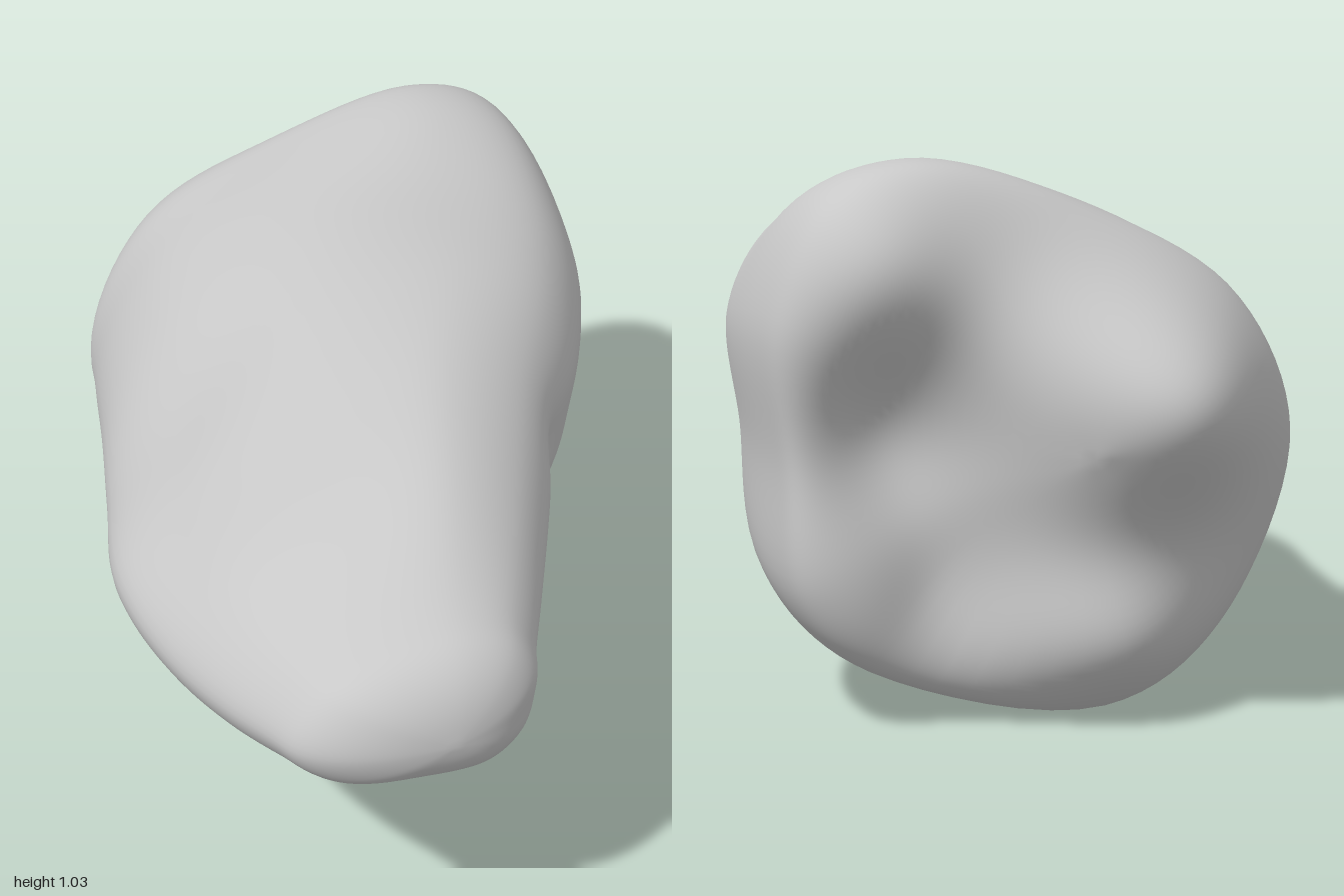
import * as THREE from 'three';
import { mergeVertices } from 'three/addons/utils/BufferGeometryUtils.js';

const SEG = 96;
const TIP = [-.2, .595];
const CROWN = [.1, .52];

// Cross-sections from tip to crown: z, then outline points [x, y] counter-clockwise from the +x side
const SECTIONS = [
  [0.86, [[0, .6], [0, .66], [-.05, .73], [-.15, .765], [-.3, .745], [-.42, .69], [-.485, .58], [-.42, .5], [-.27, .472], [-.09, .475], [-.02, .53]]],
  [0.6, [[.125, .6], [.135, .7], [.075, .81], [-.07, .88], [-.28, .83], [-.49, .715], [-.585, .57], [-.5, .46], [-.25, .43], [0, .435], [.09, .5]]],
  [0.3, [[.26, .6], [.285, .73], [.21, .86], [.03, .935], [-.24, .865], [-.48, .72], [-.62, .575], [-.52, .42], [-.2, .36], [.11, .385], [.215, .47]]],
  [0, [[.44, .56], [.465, .73], [.38, .88], [.18, .955], [-.13, .92], [-.37, .76], [-.555, .55], [-.43, .34], [-.05, .25], [.29, .3], [.4, .42]]],
  [-0.3, [[.565, .52], [.585, .74], [.49, .9], [.27, .97], [-.04, .95], [-.34, .78], [-.485, .52], [-.36, .24], [0, .11], [.41, .17], [.54, .3]]],
  [-0.6, [[.59, .5], [.615, .76], [.52, .97], [.33, 1.035], [0, .945], [-.29, .78], [-.42, .5], [-.29, .16], [-.03, 0], [.44, .11], [.57, .25]]],
];

// Cusps and grooves of the back face: x, y, height, spread in x, spread in y
const CUSPS = [
  [-.05, .61, .25, .17, .16],
  [.48, .85, .08, .12, .12],
  [0, .15, .13, .15, .11],
  [.39, .54, -.13, .12, .13],
  [.3, .25, -.08, .09, .13],
];

// Small swellings and hollows on the +x flank: z, y, height, spread
const FLANK = [[.34, .56, .03, .07], [.3, .67, -.035, .06], [.06, .53, .012, .07]];

const bell = (u, v, su, sv) => Math.exp(-0.5 * ((u / su) ** 2 + (v / sv) ** 2));
const backHeight = (x, y) =>
  CUSPS.reduce((h, [cx, cy, a, sx, sy]) => h + a * bell(x - cx, y - cy, sx, sy), 0.16);

// Copy of an outline scaled about a centre and moved along z
const shrink = (outline, [cx, cy], s, dz) =>
  outline.map((p) => new THREE.Vector3(cx + (p.x - cx) * s, cy + (p.y - cy) * s, p.z + dz));

// Rounded cap: rings shrinking from an outline to a centre while z bulges outward
function capRings(outline, centre, power, count, bulge) {
  const rings = [];
  for (let i = 0; i < count; i++) {
    const s = Math.sin((i / count) * Math.PI / 2);
    const lift = Math.pow(1 - Math.pow(s, power), 1 / power);
    const ring = shrink(outline, centre, s, 0);
    ring.forEach((p) => { p.z += lift * bulge(p.x, p.y); });
    rings.push(ring);
  }
  return rings;
}

// Soften the joins between body and caps by averaging neighbouring rings
function soften(rings, passes) {
  for (let n = 0; n < passes; n++) {
    rings = rings.map((ring, i) => (i === 0 || i === rings.length - 1) ? ring
      : ring.map((p, j) => p.clone().multiplyScalar(2).add(rings[i - 1][j]).add(rings[i + 1][j]).multiplyScalar(0.25)));
  }
  return rings;
}

function toothGeometry() {
  // Smooth closed outline for every section
  const outlines = SECTIONS.map(([z, pts]) => {
    const curve = new THREE.CatmullRomCurve3(pts.map(([x, y]) => new THREE.Vector3(x, y, z)), true);
    return Array.from({ length: SEG }, (_, j) => curve.getPoint(j / SEG));
  });

  // Shrunken guide outlines beyond both ends turn the walls inward there
  const last = outlines.length - 1;
  const guided = [shrink(outlines[0], TIP, 0.55, 0.15), ...outlines, shrink(outlines[last], CROWN, 0.82, -0.3)];

  // Loft lengthwise through the outlines, between the two guides
  const rails = guided[0].map((_, j) => new THREE.CatmullRomCurve3(guided.map((o) => o[j])));
  const steps = 64, body = [];
  for (let i = 0; i <= steps; i++) {
    body.push(rails.map((rail) => {
      const p = rail.getPoint((1 + last * i / steps) / (last + 2));
      if (p.x > -0.2 + (0.8 - p.z) * 0.3) {
        for (const [z, y, a, s] of FLANK) p.x += a * bell(p.z - z, p.y - y, s, s);
      }
      return p;
    }));
  }

  const tip = capRings(body[0], TIP, 2, 18, () => 0.14);
  const crown = capRings(body[steps], CROWN, 3, 36, (x, y) => -backHeight(x, y)).reverse();
  const rings = soften([...tip, ...body, ...crown], 6);

  const positions = rings.flat().flatMap((p) => [p.x, p.y, p.z]);
  const index = [];
  for (let i = 0; i < rings.length - 1; i++) {
    for (let j = 0; j < SEG; j++) {
      const k = (j + 1) % SEG;
      const a = i * SEG + j, b = i * SEG + k, c = a + SEG, d = b + SEG;
      index.push(a, c, b, b, c, d);
    }
  }
  const geometry = new THREE.BufferGeometry();
  geometry.setAttribute('position', new THREE.Float32BufferAttribute(positions, 3));
  geometry.setIndex(index);
  const merged = mergeVertices(geometry, 1e-5);
  merged.computeVertexNormals();
  return merged;
}

export function createModel() {
  const grey = new THREE.MeshStandardMaterial({ color: 0xc8c8c8 });
  grey.name = 'light grey';
  const tooth = new THREE.Mesh(toothGeometry(), grey);
  tooth.name = 'tooth';
  const model = new THREE.Group();
  model.name = 'toothModel';
  model.add(tooth);
  return model;
}
